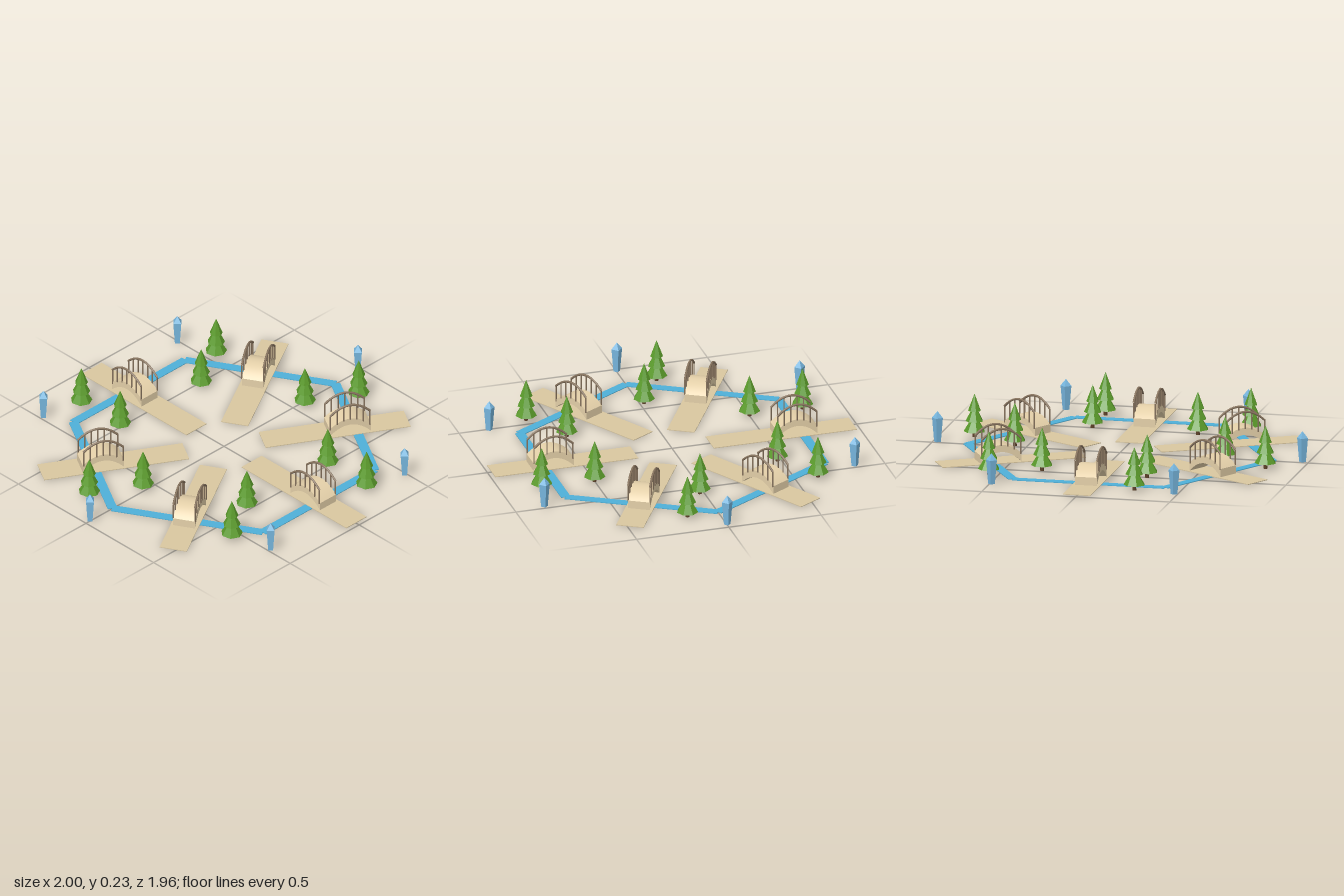
import * as THREE from 'three';
import { mergeGeometries, toCreasedNormals } from 'three/addons/utils/BufferGeometryUtils.js';

const mat = (color, flatShading = false) => new THREE.MeshStandardMaterial({ color, flatShading });
const mats = {
  water: mat(0x4fb0d8), path: mat(0xd9c7a0), deck: mat(0xe3cfa8), rail: mat(0x8a7660),
  leaves: mat(0x5a9a2a, true), trunk: mat(0x5c4028), crystal: mat(0x78b8e0, true),
};

function mesh(name, geometry, material, x = 0, y = 0, z = 0) {
  const m = new THREE.Mesh(geometry, material);
  m.name = name;
  m.position.set(x, y, z);
  return m;
}

// Parabolic arch along the bridge: t runs from -1 to 1
const HALF = 0.11, WIDTH = 0.116, STEPS = 20;
const arch = (t, end, rise) => end + rise * (1 - t * t);

function deckGeometry() {
  const pts = [];
  for (let i = 0; i <= STEPS; i++) {
    const t = -1 + (2 * i) / STEPS;
    pts.push(new THREE.Vector2(t * HALF, arch(t, 0.006, 0.056)));
  }
  for (let i = STEPS; i >= 0; i--) {
    const t = -1 + (2 * i) / STEPS;
    pts.push(new THREE.Vector2(t * HALF, arch(t, 0.05, 0.05)));
  }
  const g = new THREE.ExtrudeGeometry(new THREE.Shape(pts), { depth: WIDTH, bevelEnabled: false });
  g.translate(0, 0, -WIDTH / 2);
  g.rotateY(-Math.PI / 2);
  return toCreasedNormals(g, 0.5);
}

// One handrail with its posts, in the plane x = 0
function railGeometry() {
  const curve = new THREE.CatmullRomCurve3([-1, -0.67, -0.33, 0, 0.33, 0.67, 1].map(
    (t) => new THREE.Vector3(0, arch(t, 0.132, 0.053), t * HALF * 0.97)));
  const parts = [new THREE.TubeGeometry(curve, 20, 0.006, 6)];
  for (let i = 0; i < 7; i++) {
    const t = -1 + i / 3;
    const low = arch(t, 0.045, 0.05), high = arch(t, 0.132, 0.053);
    const post = new THREE.CylinderGeometry(0.004, 0.004, high - low, 6);
    post.translate(0, (low + high) / 2, t * HALF * 0.96);
    parts.push(post);
  }
  return mergeGeometries(parts);
}

// Three stacked cones: [radius, base, tip]
function leavesGeometry() {
  const tiers = [[0.057, 0.03, 0.125], [0.046, 0.085, 0.178], [0.034, 0.14, 0.23]];
  return mergeGeometries(tiers.map(([r, base, tip]) => {
    const g = new THREE.ConeGeometry(r, tip - base, 7);
    g.translate(0, (base + tip) / 2, 0);
    return g;
  }));
}

export function createModel() {
  const model = new THREE.Group();
  model.name = 'hexagonalMoatGarden';

  const deck = deckGeometry(), rail = railGeometry(), leaves = leavesGeometry();
  const trunk = new THREE.CylinderGeometry(0.009, 0.011, 0.05, 7);
  const shard = new THREE.LatheGeometry(
    [[0, 0.005], [0.018, 0.005], [0.029, 0.132], [0, 0.168]].map((p) => new THREE.Vector2(...p)), 4);

  const polar = (radius, degrees) => {
    const a = THREE.MathUtils.degToRad(degrees);
    return [radius * Math.cos(a), radius * Math.sin(a)];
  };

  for (let i = 0; i < 6; i++) {
    // Sector pointing outward along its local z
    const sector = new THREE.Group();
    sector.name = 'sector';
    sector.rotation.y = (i * Math.PI) / 3;
    sector.add(mesh('moatSegment', new THREE.BoxGeometry(0.81, 0.004, 0.05), mats.water, 0, 0.002, 0.7));
    sector.add(mesh('path', new THREE.BoxGeometry(0.145, 0.004, 0.775), mats.path, 0, 0.005, 0.592));
    const bridge = new THREE.Group();
    bridge.name = 'bridge';
    bridge.position.z = 0.66;
    bridge.add(mesh('bridgeDeck', deck, mats.deck));
    for (const s of [-1, 1]) bridge.add(mesh('bridgeRail', rail, mats.rail, s * 0.058));
    sector.add(bridge);
    model.add(sector);

    // Crystal outside each corner
    const [cx, cz] = polar(0.971, i * 60);
    model.add(mesh('crystal', shard, mats.crystal, cx, 0, cz));

    // Trees on both banks of the moat
    for (const [radius, offset] of [[0.83, 11.6], [0.565, 2.3]]) {
      const [x, z] = polar(radius, offset + i * 60);
      const tree = new THREE.Group();
      tree.name = 'tree';
      tree.position.set(x, 0, z);
      tree.add(mesh('treeTrunk', trunk, mats.trunk, 0, 0.025, 0));
      tree.add(mesh('treeLeaves', leaves, mats.leaves));
      model.add(tree);
    }
  }
  return model;
}
